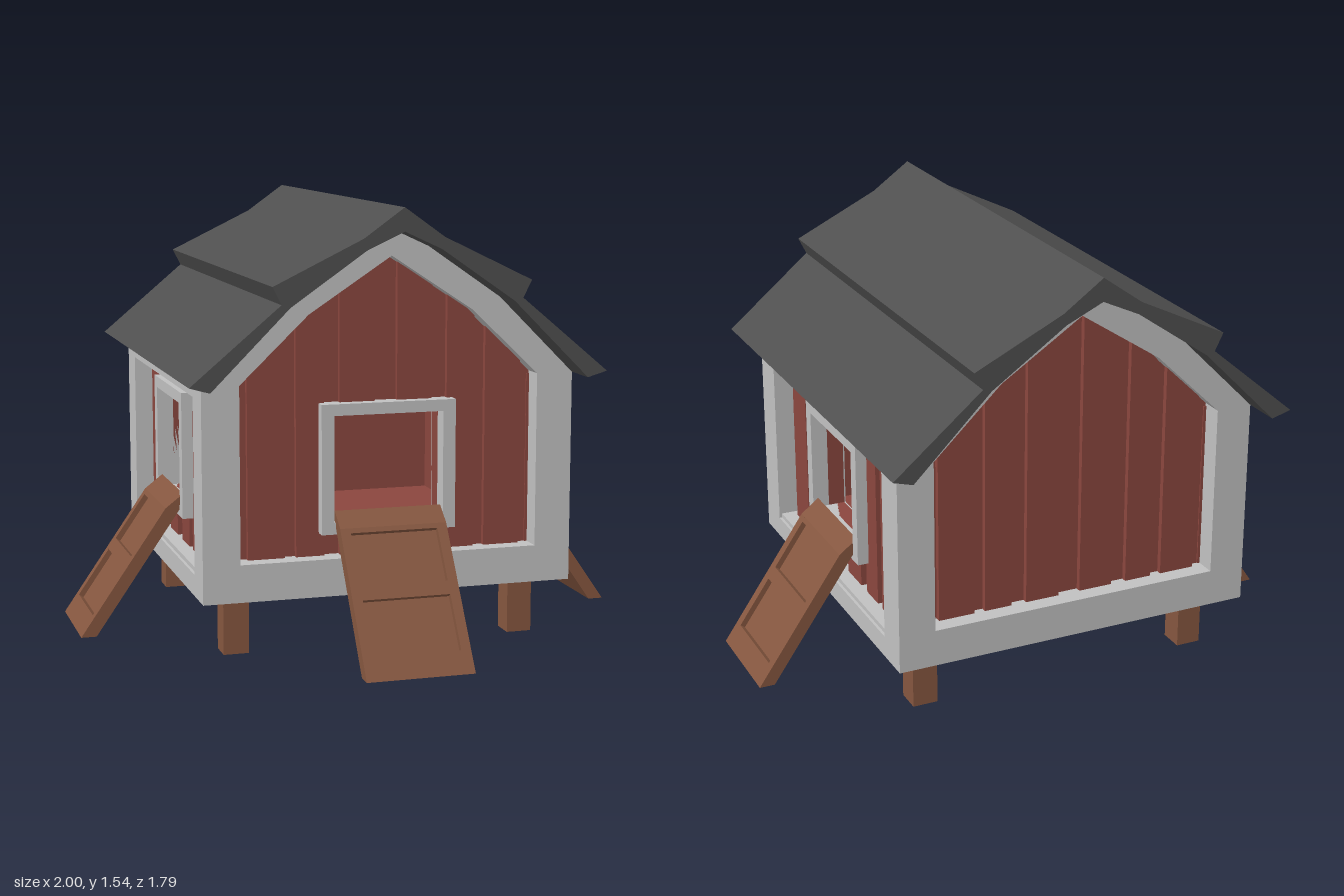
import * as THREE from 'three';

const mat = (name, color) => {
  const m = new THREE.MeshStandardMaterial({ color });
  m.name = name;
  return m;
};

export function createModel() {
  const red = mat('barn red', 0x8a463e);
  const trim = mat('light grey trim', 0xc0c0c0);
  const slate = mat('dark grey roofing', 0x4f4f4f);
  const wood = mat('brown wood', 0x85563f);

  const house = new THREE.Group();
  house.name = 'coop';

  const v = (pts) => pts.map(([x, y]) => new THREE.Vector2(x, y));
  // Extrudes an outline (with optional holes) from z0 to z1
  const slab = (parent, name, material, pts, z0, z1, holes = []) => {
    const shape = new THREE.Shape(v(pts));
    holes.forEach((h) => shape.holes.push(new THREE.Path(v(h))));
    const geo = new THREE.ExtrudeGeometry(shape, { depth: z1 - z0, bevelEnabled: false });
    geo.translate(0, 0, z0);
    const mesh = new THREE.Mesh(geo, material);
    mesh.name = name;
    parent.add(mesh);
  };
  const box = (parent, name, material, w, h, d, x, y, z) => {
    const mesh = new THREE.Mesh(new THREE.BoxGeometry(w, h, d), material);
    mesh.name = name;
    mesh.position.set(x, y, z);
    parent.add(mesh);
  };
  const rect = (x0, y0, x1, y1) => [[x0, y0], [x1, y0], [x1, y1], [x0, y1]];
  // Mirrors a half outline, listed from bottom right up to the centre
  const mirror = (half) => [
    ...half,
    ...half.filter(([x]) => x > 0).reverse().map(([x, y]) => [-x, y]),
  ];

  const eaves = [[0.66, 0.95], [0.39, 1.22], [0.13, 1.4], [0, 1.46]];
  const gableTop = (x) => (x < 0.29 ? 1.37 - x * 0.655 : 1.18 - (x - 0.29) * 0.958);
  const planks = [[0.04, 0.165], [0.22, 0.32], [0.36, 0.49]];

  // One wall: outer face at local z = 0, body behind it
  const wall = (name, gable, door) => {
    const g = new THREE.Group();
    g.name = name;
    const outer = gable ? mirror([[0.66, 0.21], ...eaves]) : rect(-0.655, 0.21, 0.655, 0.95);
    const inner = gable
      ? mirror([[0.53, 0.34], [0.53, 0.95], [0.29, 1.18], [0, 1.37]])
      : rect(-0.525, 0.285, 0.525, 0.9);
    const panel = gable
      ? mirror([[0.58, 0.25], [0.58, 0.97], [0.32, 1.22], [0, 1.41]])
      : rect(-0.58, 0.25, 0.58, 0.94);
    const opening = rect(-0.195, 0.46, 0.195, 0.83);
    slab(g, 'wallFrame', trim, outer, -0.12, 0, [inner]);
    slab(g, 'wallPanel', red, panel, -0.14, -0.08, door ? [opening] : []);

    // Raised planks, cut around the doorway
    for (const [a, b] of planks) {
      const ya = gable ? gableTop(a) + 0.02 : 0.92;
      const yb = gable ? gableTop(b) + 0.02 : 0.92;
      for (const s of [1, -1]) {
        const piece = (low, ta, tb) =>
          slab(g, 'plank', red, [[s * a, low], [s * b, low], [s * b, tb], [s * a, ta]], -0.09, -0.06);
        if (door && b < 0.2) {
          piece(0.26, 0.44, 0.44);
          piece(0.85, ya, yb);
        } else piece(0.26, ya, yb);
      }
    }
    if (door) slab(g, 'doorTrim', trim, rect(-0.24, 0.42, 0.24, 0.87), -0.145, -0.02, [opening]);
    house.add(g);
    return g;
  };

  wall('frontWall', true, true).position.set(0, 0, 0.55);
  const back = wall('backWall', true, false);
  back.position.set(0, 0, -0.76);
  back.rotation.y = Math.PI;
  for (const [name, s] of [['leftWall', 1], ['rightWall', -1]]) {
    const side = wall(name, false, true);
    side.position.set(s * 0.66, 0, -0.105);
    side.rotation.y = (s * Math.PI) / 2;
  }

  // Floor
  box(house, 'floorBase', trim, 1.3, 0.09, 1.29, 0, 0.256, -0.105);
  box(house, 'floorBoards', red, 1.06, 0.03, 1.05, 0, 0.315, -0.105);

  // Stepped roof
  const roofTop = [[0, 1.54], [0.14, 1.44], [0.45, 1.29], [0.42, 1.23], [0.73, 0.97]];
  const roofHalf = [...roofTop, ...eaves];
  const roofLeft = roofHalf.slice(1, -1).reverse().map(([x, y]) => [-x, y]);
  slab(house, 'roof', slate, [...roofHalf, ...roofLeft], -0.9, 0.69);

  // Legs
  for (const x of [-0.52, 0.52])
    for (const z of [0.39, -0.6]) box(house, 'leg', wood, 0.09, 0.22, 0.09, x, 0.11, z);

  // Sloping ramp with two sunken panels; at(y, d) is a point d below its surface
  const at = (y, d) => [1 - 0.689 * y - 0.823 * d, y - 0.567 * d];
  const ramp = (name) => {
    const g = new THREE.Group();
    g.name = name;
    const side = [[1, 0], [0.945, 0], [0.614, 0.48], [0.625, 0.5], [0.69, 0.45]];
    slab(g, 'rampStile', wood, side, 0.155, 0.19);
    slab(g, 'rampStile', wood, side, -0.19, -0.155);
    slab(g, 'rampBoard', wood, [[0.976, 0], [0.945, 0], [0.614, 0.48], [0.655, 0.465]], -0.155, 0.155);
    const rails = [
      [[1, 0], [0.955, 0], at(0.07, 0.03), at(0.07, 0)],
      [at(0.235, 0), at(0.235, 0.03), at(0.275, 0.03), at(0.275, 0)],
      [at(0.435, 0), at(0.435, 0.03), [0.614, 0.48], [0.625, 0.5], [0.69, 0.45]],
    ];
    rails.forEach((r) => slab(g, 'rampRail', wood, r, -0.155, 0.155));
    house.add(g);
    return g;
  };
  ramp('leftRamp').position.z = -0.11;
  const right = ramp('rightRamp');
  right.position.z = -0.11;
  right.rotation.y = Math.PI;
  const front = ramp('frontRamp');
  front.position.z = -0.11;
  front.rotation.y = -Math.PI / 2;

  return house;
}
